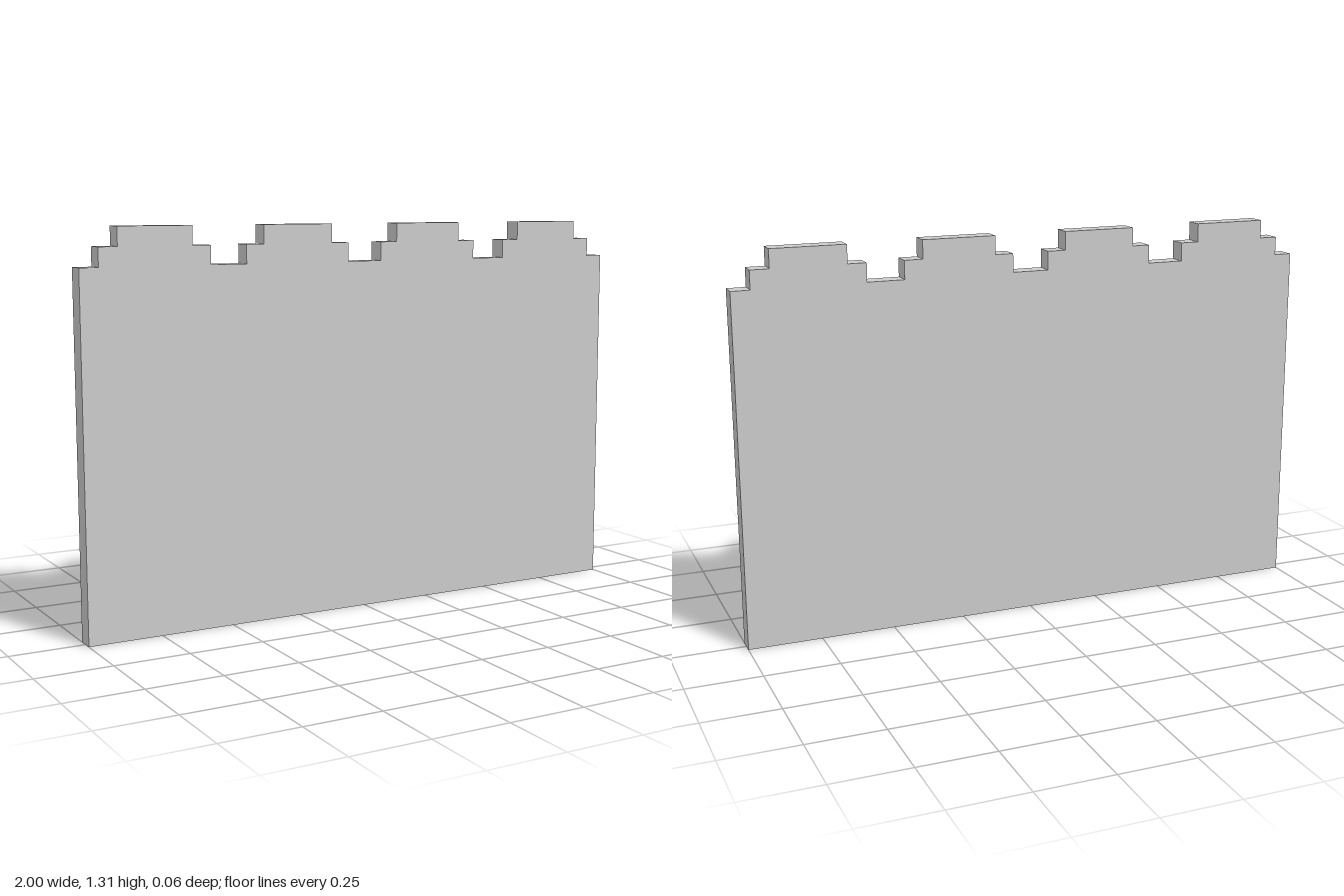
import * as THREE from 'three';

const UNIT = 1 / 16; // wall thickness and step size
const HALF_WIDTH = 1;
const WALL_TOP = 19 * UNIT;
const MERLONS = 4;

export function createModel() {
  const group = new THREE.Group();
  group.name = 'battlementWall';

  // Wall outline, running counter-clockwise from the bottom left
  const outline = new THREE.Shape();
  outline.moveTo(-HALF_WIDTH, 0);
  outline.lineTo(HALF_WIDTH, 0);
  outline.lineTo(HALF_WIDTH, WALL_TOP);

  // Stepped merlons along the top, from right to left
  const pitch = (2 * HALF_WIDTH) / MERLONS;
  const steps = [[3, 0], [3, 1], [2, 1], [2, 2], [-2, 2], [-2, 1], [-3, 1], [-3, 0]];
  for (let i = 0; i < MERLONS; i++) {
    const centre = HALF_WIDTH - (i + 0.5) * pitch;
    for (const [x, y] of steps) outline.lineTo(centre + x * UNIT, WALL_TOP + y * UNIT);
  }
  outline.lineTo(-HALF_WIDTH, WALL_TOP);
  outline.closePath();

  // Thin slab centred on z = 0
  const geometry = new THREE.ExtrudeGeometry(outline, { depth: UNIT, bevelEnabled: false });
  geometry.translate(0, 0, -UNIT / 2);

  const wall = new THREE.Mesh(
    geometry,
    new THREE.MeshStandardMaterial({ color: 0xcccccc, flatShading: true })
  );
  wall.name = 'crenellatedWall';
  group.add(wall);
  return group;
}
